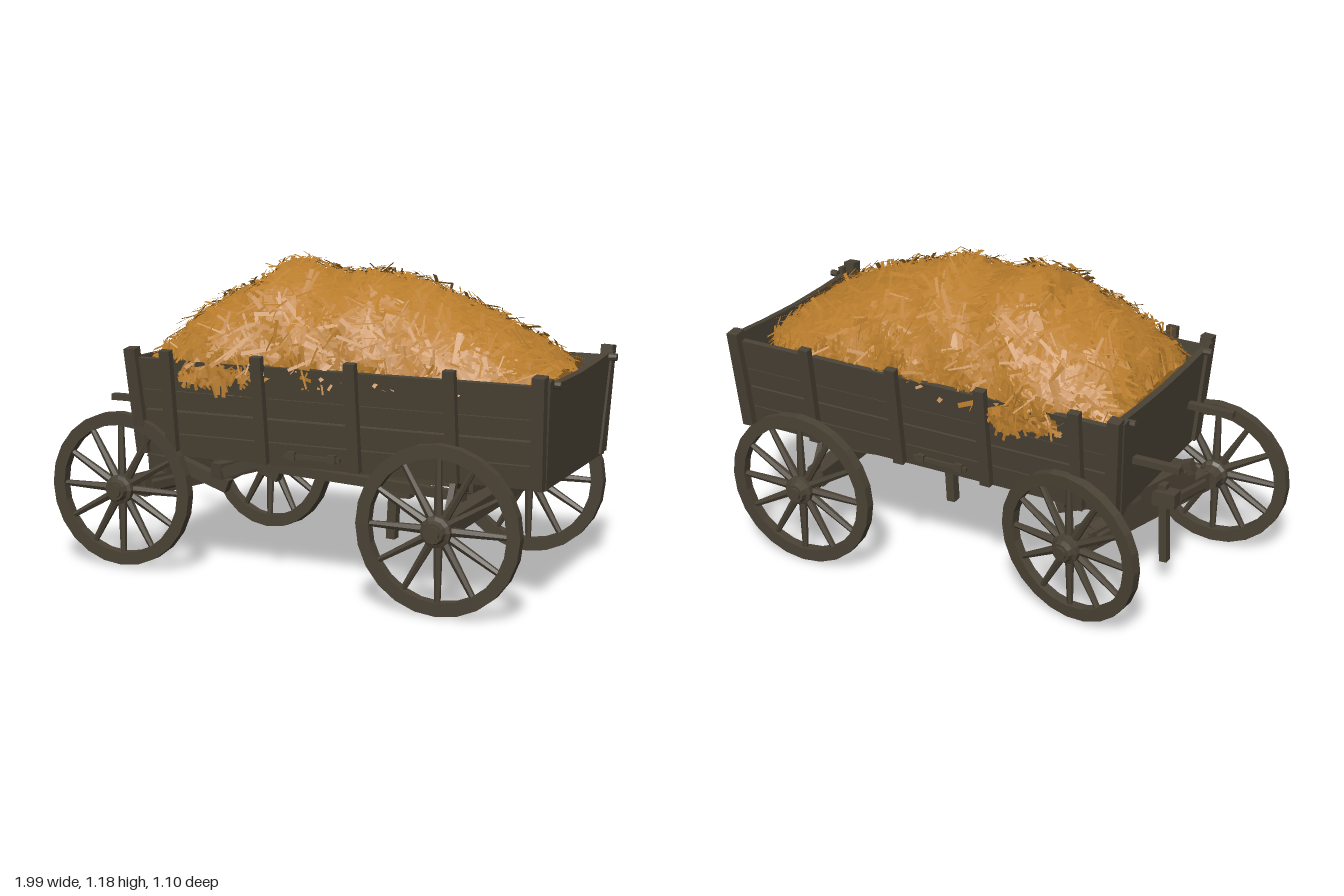
import * as THREE from 'three';
import { mergeGeometries } from 'three/addons/utils/BufferGeometryUtils.js';

const flat = (name, color, side = THREE.FrontSide) => {
  const m = new THREE.MeshStandardMaterial({ color, flatShading: true, side });
  m.name = name;
  return m;
};

export function createModel() {
  const model = new THREE.Group();
  model.name = 'hayWagon';
  const wood = flat('weatheredWood', 0x4a4235);
  const hay = flat('hay', 0xb87c2c, THREE.DoubleSide);

  let seed = 7;
  const rnd = () => (seed = (seed * 16807) % 2147483647) / 2147483647;
  const V = (x, y, z) => new THREE.Vector3(x, y, z);

  const add = (parent, name, geo, mat, x = 0, y = 0, z = 0) => {
    const m = new THREE.Mesh(geo, mat);
    m.name = name;
    m.position.set(x, y, z);
    parent.add(m);
    return m;
  };
  const box = (parent, name, w, h, d, x, y, z, mat = wood) =>
    add(parent, name, new THREE.BoxGeometry(w, h, d), mat, x, y, z);
  // Timber between two points; on upright ones w lies along x and h along z
  const bar = (parent, name, a, b, w, h = w) => {
    const m = box(parent, name, w, h, a.distanceTo(b), 0, 0, 0);
    m.position.copy(a).add(b).multiplyScalar(0.5);
    if (Math.abs(b.y - a.y) > 0.8 * a.distanceTo(b)) m.up.set(0, 0, 1);
    m.lookAt(b);
    return m;
  };

  // Wheels: rim, twelve tapered spokes, turned hub
  const wheel = (name, r, x, y, z, rotY = 0, rotX = 0) => {
    const g = new THREE.Group();
    g.name = name;
    const h = 0.019, ri = r - 0.048;
    const ring = [[ri, -h], [r, -h], [r, h], [ri, h], [ri, -h]].map(p => new THREE.Vector2(...p));
    add(g, 'rim', new THREE.LatheGeometry(ring, 24).rotateX(Math.PI / 2), wood);
    const spokes = [];
    for (let i = 0; i < 12; i++) {
      const s = new THREE.CylinderGeometry(0.011, 0.017, ri - 0.02, 6);
      s.translate(0, (ri + 0.04) / 2, 0).rotateZ(i * Math.PI / 6);
      spokes.push(s);
    }
    add(g, 'spokes', mergeGeometries(spokes), wood);
    const hub = [[0, -0.085], [0.04, -0.085], [0.045, -0.04], [0.056, -0.03], [0.056, 0.03],
      [0.042, 0.035], [0.036, 0.055], [0.026, 0.055], [0.026, 0.065], [0, 0.065]].map(p => new THREE.Vector2(...p));
    add(g, 'hub', new THREE.LatheGeometry(hub, 12).rotateX(Math.PI / 2 * Math.sign(z)), wood);
    g.position.set(x, y, z);
    g.rotation.set(rotX, rotY, 0);
    model.add(g);
  };
  for (const s of [1, -1]) wheel('rearWheel', 0.302, 0.613, 0.303, s * 0.487);
  wheel('steeredWheelNear', 0.293, -0.705, 0.302, 0.375);
  wheel('steeredWheelFar', 0.293, -0.465, 0.302, -0.397, -0.18, -0.05);

  // Undercarriage
  const under = new THREE.Group();
  under.name = 'undercarriage';
  model.add(under);
  box(under, 'rearAxle', 0.07, 0.065, 0.8, 0.613, 0.307, 0);
  box(under, 'rearBolster', 0.06, 0.04, 0.46, 0.613, 0.40, 0);
  box(under, 'reachPole', 1.1, 0.045, 0.06, 0.05, 0.37, 0);
  for (const s of [1, -1]) {
    bar(under, 'reachBrace', V(-0.3, 0.36, s * 0.03), V(0.6, 0.36, s * 0.2), 0.035);
    bar(under, 'rearStrut', V(0.613, 0.33, s * 0.40), V(0.613, 0.44, s * 0.34), 0.022);
    bar(under, 'bolsterBrace', V(0.613, 0.385, s * 0.2), V(0.613, 0.45, s * 0.32), 0.03);
    box(under, 'floorSill', 1.5, 0.03, 0.05, 0.15, 0.435, s * 0.2);
    bar(under, 'supportBrace', V(-0.36, 0.36, s * 0.2), V(-0.12, 0.45, s * 0.2), 0.04);
    box(under, 'endRod', 0.2, 0.024, 0.03, -0.715, 0.625, s * 0.245);
  }
  for (const x of [-0.5, -0.15, 0.2, 0.45, 0.8]) box(under, 'crossBeam', 0.05, 0.02, 0.62, x, 0.443, 0);
  box(under, 'brakeBlock', 0.1, 0.035, 0.05, 0.265, 0.30, -0.01);
  bar(under, 'brakeHanger', V(0.3, 0.3, -0.01), V(0.3, 0.42, -0.01), 0.03);
  bar(under, 'brakeLever', V(0.235, 0.12, -0.01), V(0.245, 0.31, -0.01), 0.035, 0.04);
  bar(under, 'hangingPole', V(-0.67, 0.1, -0.01), V(-0.655, 0.42, -0.01), 0.03, 0.035);
  box(under, 'poleBlock', 0.09, 0.06, 0.055, -0.67, 0.37, -0.02);

  // Turned steering axle
  const steer = new THREE.Group();
  steer.name = 'steeringAxle';
  steer.position.set(-0.58, 0.3, -0.012);
  steer.rotation.y = -0.3;
  model.add(steer);
  box(steer, 'axleBeam', 0.08, 0.075, 0.66, 0, 0, 0);
  box(steer, 'axleBolster', 0.1, 0.06, 0.46, 0, 0.07, 0);
  box(steer, 'turntable', 0.2, 0.03, 0.3, 0.04, 0.115, 0);
  for (const s of [1, -1]) {
    bar(steer, 'drawArm', V(-0.07, 0.05, s * 0.2), V(0.26, 0.06, s * 0.1), 0.045, 0.05);
    const collar = add(steer, 'axleCollar', new THREE.CylinderGeometry(0.05, 0.05, 0.14, 10), wood, 0, 0, s * 0.23);
    collar.rotation.x = Math.PI / 2;
  }
  box(steer, 'drawCrossbar', 0.05, 0.06, 0.3, 0.235, 0.06, 0);

  // Box bed with flared plank sides
  const bed = new THREE.Group();
  bed.name = 'wagonBed';
  model.add(bed);
  box(bed, 'floor', 1.53, 0.02, 0.68, 0.155, 0.455, 0);
  const lean = 0.12, wallZ = y => 0.345 + (y - 0.45) * lean;
  const rows = [[0.445, 0.528], [0.532, 0.614], [0.621, 0.692], [0.694, 0.81]];
  for (const s of [1, -1]) {
    rows.forEach(([a, b], i) => {
      const y = (a + b) / 2;
      box(bed, 'sidePlank', 1.54 + (i % 2) * 0.01, b - a, 0.022, 0.16, y, s * wallZ(y)).rotation.x = s * lean;
    });
    for (const x of [-0.485, -0.115, 0.25, 0.62])
      box(bed, 'sidePost', 0.042, 0.40, 0.03, x, 0.648, s * (wallZ(0.648) + 0.025)).rotation.x = s * lean;
    // Corner posts, end cleats and their bolts
    bar(bed, 'cornerPost', V(-0.612, 0.45, s * 0.36), V(-0.635, 0.845, s * 0.405), 0.045);
    bar(bed, 'cornerPost', V(0.925, 0.45, s * 0.36), V(0.94, 0.845, s * 0.405), 0.045, 0.05);
    bar(bed, 'endCleat', V(0.94, 0.445, s * 0.325), V(0.962, 0.83, s * 0.37), 0.02, 0.04);
    bar(bed, 'endCleat', V(-0.63, 0.445, s * 0.325), V(-0.652, 0.83, s * 0.37), 0.02, 0.04);
    for (const x of [-0.665, 0.978])
      add(bed, 'bolt', new THREE.CylinderGeometry(0.014, 0.014, 0.03, 8).rotateZ(Math.PI / 2), wood, x, 0.81, s * 0.335);
    // Side latch
    box(bed, 'latchBar', 0.22, 0.016, 0.012, 0.08, 0.485, s * 0.367);
    for (const x of [0.0, 0.16]) box(bed, 'latchKnob', 0.03, 0.03, 0.025, x, 0.488, s * 0.367);
  }
  // Tapered end boards with a dipped top edge
  const endShape = new THREE.Shape([[-0.345, 0], [0.345, 0], [0.39, 0.39], [0.2, 0.375], [0, 0.365], [-0.2, 0.365], [-0.39, 0.37]]
    .map(p => new THREE.Vector2(...p)));
  const endGeo = new THREE.ExtrudeGeometry(endShape, { depth: 0.025, bevelEnabled: false }).rotateY(Math.PI / 2);
  add(bed, 'tailBoard', endGeo, wood, 0.915, 0.44, 0).rotation.z = -0.06;
  add(bed, 'headBoard', endGeo, wood, -0.625, 0.44, 0).rotation.z = 0.06;

  // Hay heap: ridge height and half width along the wagon
  const sample = (pts, x) => {
    let i = 1;
    while (i < pts.length - 1 && x > pts[i][0]) i++;
    const [a, b] = [pts[i - 1], pts[i]];
    return THREE.MathUtils.lerp(a[1], b[1], THREE.MathUtils.clamp((x - a[0]) / (b[0] - a[0]), 0, 1));
  };
  const ridge = [[-0.6, 0.8], [-0.56, 0.89], [-0.48, 0.97], [-0.35, 1.04], [-0.24, 1.08], [-0.19, 1.135], [-0.08, 1.135],
    [0.03, 1.105], [0.2, 1.12], [0.4, 1.065], [0.6, 0.99], [0.75, 0.91], [0.9, 0.8]];
  const width = [[-0.6, 0.25], [-0.56, 0.33], [-0.4, 0.38], [-0.3, 0.4], [-0.15, 0.385], [0.2, 0.37], [0.6, 0.355], [0.8, 0.32], [0.87, 0.26], [0.9, 0.19]];
  const heap = (u, v) => {
    const x = -0.6 + 1.5 * u, t = Math.PI * v;
    const bump = 1 + 0.025 * Math.sin(x * 19 + v * 8) * Math.sin(v * 17 + x * 5);
    const rise = Math.sign(Math.sin(t)) * Math.abs(Math.sin(t)) ** 1.12;
    return V(x, 0.76 + (sample(ridge, x) - 0.76) * rise * bump, sample(width, x) * Math.cos(t) * bump);
  };
  const heapGeo = new THREE.PlaneGeometry(1, 1, 36, 26);
  const pos = heapGeo.attributes.position;
  for (let i = 0; i < pos.count; i++) {
    const p = heap(pos.getX(i) + 0.5, 0.5 - pos.getY(i));
    pos.setXYZ(i, p.x + (rnd() - 0.5) * 0.022, p.y + (rnd() - 0.5) * 0.022, p.z + (rnd() - 0.5) * 0.016);
  }
  add(model, 'hayHeap', heapGeo, hay);
  box(model, 'hayFill', 1.4, 0.3, 0.66, 0.12, 0.63, 0, hay);

  // Loose straw blades lying on a patch of the heap
  const straw = (name, count, w, lift, [u0, u1, v0, v1] = [0.01, 0.98, 0.02, 0.98]) => {
    const out = [];
    for (let i = 0; i < count; i++) {
      const u = u0 + rnd() * (u1 - u0), v = v0 + rnd() * (v1 - v0);
      const p = heap(u, v);
      const tx = heap(u + 0.01, v).sub(p).normalize(), tv = heap(u, v + 0.01).sub(p).normalize();
      const n = tv.clone().cross(tx).normalize();
      if (n.dot(V(0, p.y - 0.6, p.z)) < 0) n.negate();
      const a = rnd() * Math.PI * 2, len = 0.06 + rnd() * 0.08;
      const dir = tx.clone().multiplyScalar(Math.cos(a)).addScaledVector(tv, Math.sin(a));
      const side = dir.clone().cross(n).multiplyScalar(w * (0.6 + rnd() * 0.8));
      const s = p.clone().addScaledVector(n, 0.006).addScaledVector(dir, -len / 2);
      const e = s.clone().addScaledVector(dir, len).addScaledVector(n, rnd() * rnd() * lift);
      const c = [s.clone().add(side), s.clone().sub(side), e.clone().sub(side), e.clone().add(side)];
      for (const k of [0, 1, 2, 0, 2, 3]) out.push(c[k].x, c[k].y, c[k].z);
    }
    const g = new THREE.BufferGeometry();
    g.setAttribute('position', new THREE.Float32BufferAttribute(out, 3));
    g.computeVertexNormals();
    add(model, name, g, hay);
  };
  straw('broadStraw', 1900, 0.007, 0.035);
  straw('fineStraw', 1300, 0.003, 0.045);
  // Straw spilling over the sides
  for (const patch of [[0.07, 0.28, -0.03, 0.06], [0.1, 0.3, 0.94, 1.045]]) straw('spilledStraw', 150, 0.007, 0.015, patch);

  return model;
}
